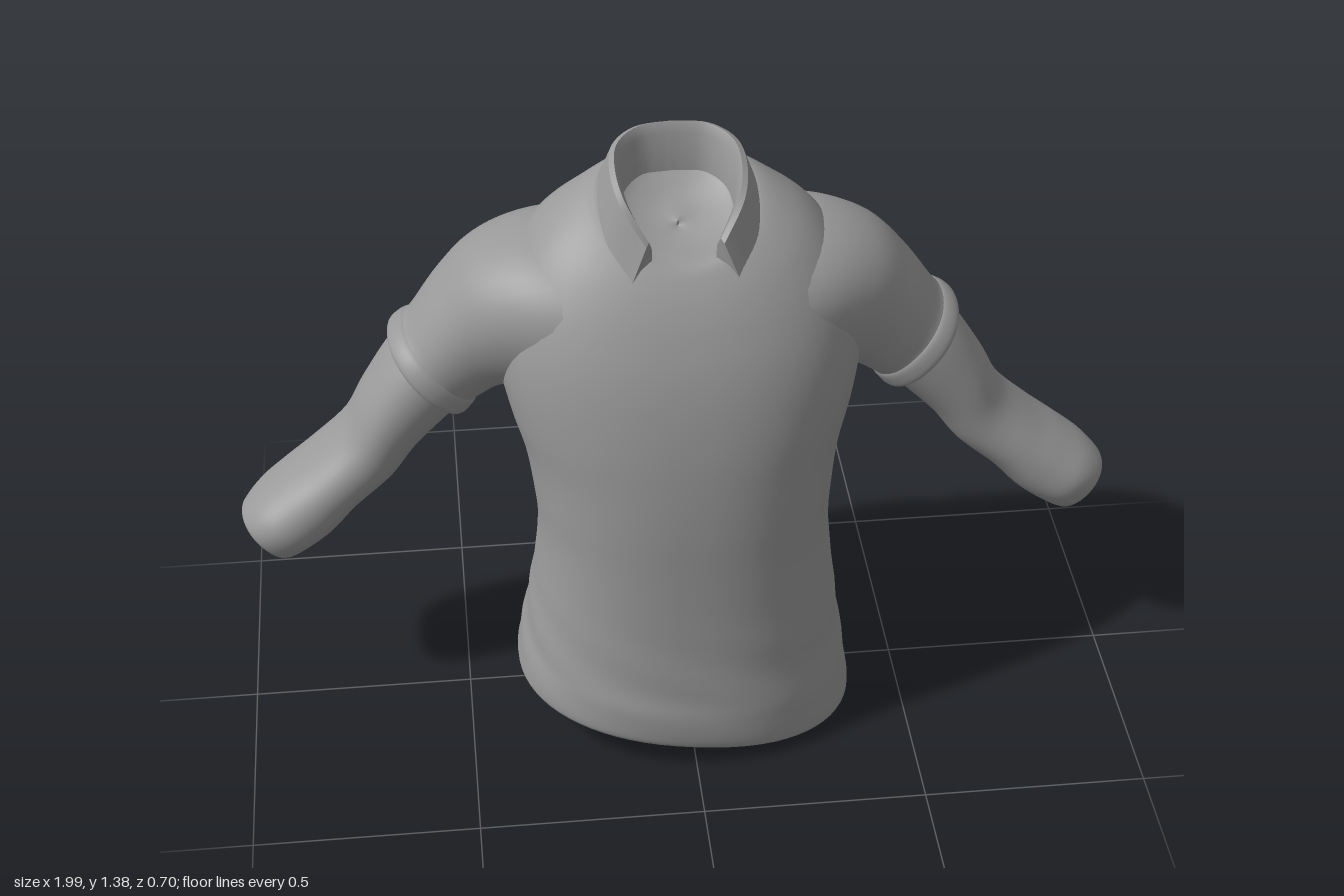
import * as THREE from 'three';
import { toCreasedNormals } from 'three/addons/utils/BufferGeometryUtils.js';

// Smoothly interpolates rows of section parameters
function refine(rows, steps) {
  const out = [], last = rows.length - 1;
  for (let i = 0; i < last; i++) {
    const [a, b, c, d] = [i - 1, i, i + 1, i + 2].map((k) => rows[Math.min(last, Math.max(0, k))]);
    for (let s = 0; s < steps; s++) {
      const t = s / steps;
      out.push(b.map((v, k) => v + 0.5 * t * (c[k] - a[k]
        + t * (2 * a[k] - 5 * v + 4 * c[k] - d[k] + t * (3 * (v - c[k]) + d[k] - a[k])))));
    }
  }
  out.push(rows[last]);
  return out;
}

// Skins a list of closed rings of [x, y, z] points
function loft(rings, flip = false) {
  const n = rings[0].length, index = [];
  for (let i = 0; i < rings.length - 1; i++) {
    for (let j = 0; j < n; j++) {
      const k = (j + 1) % n;
      const a = i * n + j, b = (i + 1) * n + j, c = (i + 1) * n + k, d = i * n + k;
      if (flip) index.push(a, d, b, b, d, c);
      else index.push(a, b, d, b, c, d);
    }
  }
  const g = new THREE.BufferGeometry();
  g.setAttribute('position', new THREE.Float32BufferAttribute(rings.flat(2), 3));
  g.setIndex(index);
  g.computeVertexNormals();
  return g;
}

// Points round a superellipse as [cos, sin] pairs
function unitRing(n, power) {
  const f = (v) => Math.sign(v) * Math.abs(v) ** power;
  return Array.from({ length: n }, (_, j) => {
    const a = (j / n) * Math.PI * 2;
    return [f(Math.cos(a)), f(Math.sin(a))];
  });
}

// Torso section: front y, back y, half width, front z, back z, lift at the sides
const torsoRows = [
  [0.043, 0.043, 0.380, 0.335, -0.25, 0],
  [0.06, 0.06, 0.386, 0.350, -0.26, 0],
  [0.13, 0.13, 0.376, 0.348, -0.253, 0],
  [0.20, 0.20, 0.364, 0.334, -0.245, 0],
  [0.35, 0.35, 0.342, 0.315, -0.220, 0],
  [0.50, 0.50, 0.327, 0.302, -0.215, 0],
  [0.60, 0.60, 0.334, 0.294, -0.240, 0],
  [0.70, 0.70, 0.350, 0.282, -0.282, 0],
  [0.80, 0.80, 0.380, 0.265, -0.322, 0],
  [0.90, 0.90, 0.400, 0.240, -0.342, 0],
  [0.98, 1.00, 0.400, 0.212, -0.345, 0],
  [1.05, 1.10, 0.375, 0.178, -0.330, 0.01],
  [1.10, 1.18, 0.318, 0.148, -0.296, 0.03],
  [1.14, 1.245, 0.250, 0.118, -0.248, 0.036],
  [1.17, 1.30, 0.165, 0.088, -0.213, 0.03],
  [1.18, 1.26, 0.120, 0.055, -0.170, 0],
  [1.18, 1.22, 0.060, 0.000, -0.120, 0],
  [1.19, 1.20, 0.001, -0.059, -0.061, 0],
];

function torsoRing([yf, yb, hw, zf, zb, lift]) {
  return unitRing(72, 0.87).map(([c, s]) => {
    let y = (yf + yb) / 2 + (s * (yf - yb)) / 2 + lift * c * c;
    // Shallow, uneven cloth folds above the hem
    const fold = y > 0.06 && y < 0.4 ? Math.sin(((y - 0.06) / 0.34) * Math.PI) : 0;
    const r = 1 + 0.007 * fold * Math.sin(y * 46 + 4 * s + 5 * c);
    const x = hw * c * r;
    const z = (zf + zb) / 2 + ((zf - zb) / 2) * s * r;
    // The hem runs lower on the left
    const slant = Math.max(0, 1 - y / 0.45);
    y += slant * (-0.157 * x + 0.07 * x * x);
    return [x, y, z];
  });
}

// Arm section: x, y, half height, front z, back z, tilt in degrees
// The first sleeve rows lie inside the chest so that the shoulder flows out of it
const sleeveRows = [
  [0.06, 0.99, 0.195, 0.150, -0.325, 3],
  [0.18, 0.99, 0.195, 0.148, -0.346, 9],
  [0.285, 0.985, 0.190, 0.118, -0.340, 18],
  [0.375, 0.962, 0.170, 0.072, -0.325, 26],
  [0.450, 0.918, 0.139, 0.028, -0.305, 31],
  [0.505, 0.862, 0.120, 0.008, -0.282, 40],
  [0.522, 0.845, 0.118, 0.004, -0.278, 42],
];
const cuffRows = [
  [0.514, 0.853, 0.108, -0.004, -0.270, 42],
  [0.524, 0.844, 0.120, 0.007, -0.281, 43],
  [0.540, 0.829, 0.125, 0.011, -0.285, 43],
  [0.552, 0.816, 0.124, 0.010, -0.284, 43],
  [0.556, 0.812, 0.112, 0.000, -0.274, 43],
  [0.550, 0.818, 0.095, -0.02, -0.255, 43],
];
const forearmRows = [
  [0.50, 0.86, 0.095, -0.010, -0.262, 43],
  [0.56, 0.805, 0.101, -0.006, -0.268, 43],
  [0.64, 0.71, 0.089, -0.006, -0.250, 43],
  [0.695, 0.625, 0.081, -0.004, -0.248, 43],
  [0.775, 0.555, 0.078, 0.010, -0.246, 43],
  [0.84, 0.50, 0.086, 0.022, -0.234, 43],
  [0.895, 0.462, 0.085, 0.028, -0.216, 43],
  [0.932, 0.432, 0.080, 0.012, -0.186, 43],
  [0.944, 0.423, 0.070, -0.008, -0.168, 43],
  [0.950, 0.418, 0.035, -0.045, -0.125, 43],
  [0.951, 0.417, 0.001, -0.085, -0.087, 43],
];

function armGeometry(rows, side) {
  const rings = refine(rows, 5).map(([x, y, h, zf, zb, deg]) => {
    const t = THREE.MathUtils.degToRad(deg);
    return unitRing(40, 0.92).map(([c, s]) => [
      side * (x + h * c * Math.sin(t)),
      y + h * c * Math.cos(t),
      (zf + zb) / 2 + ((zf - zb) / 2) * s,
    ]);
  });
  return loft(rings, side > 0);
}

// Half collar from centre back to front point: top edge xyz, leaf edge xyz, inner base y
const collarRows = [
  [0, 1.374, -0.196, 0, 1.295, -0.221, 1.23],
  [0.08, 1.371, -0.184, 0.10, 1.292, -0.206, 1.225],
  [0.134, 1.36, -0.130, 0.162, 1.275, -0.148, 1.21],
  [0.146, 1.343, -0.045, 0.178, 1.245, -0.060, 1.19],
  [0.130, 1.305, 0.035, 0.166, 1.195, 0.035, 1.18],
  [0.082, 1.238, 0.092, 0.116, 1.145, 0.104, 1.17],
];

function collarGeometry() {
  const half = refine(collarRows, 6);
  const mirrored = half.slice(1).reverse().map((r) => r.map((v, k) => (k === 0 || k === 3 ? -v : v)));
  const rings = [...mirrored, ...half].map(([tx, ty, tz, bx, by, bz, iy]) => {
    const inward = (x, z, f) => [x * f, -0.05 + (z + 0.05) * f];
    const [ix, iz] = inward(tx, tz, 0.84);
    const [jx, jz] = inward(tx, tz, 0.82);
    const [lx, lz] = inward(bx, bz, 0.92);
    return [[jx, iy, jz], [ix, ty - 0.022, iz], [(ix + tx) / 2, ty, (iz + tz) / 2],
      [tx, ty - 0.006, tz], [bx, by, bz], [lx, by, lz]];
  });
  // Close both front ends
  const cap = (ring) => {
    const m = [0, 1, 2].map((k) => ring.reduce((sum, p) => sum + p[k], 0) / ring.length);
    return ring.map(() => m);
  };
  return toCreasedNormals(loft([cap(rings[0]), ...rings, cap(rings.at(-1))]), 0.7);
}

export function createModel() {
  const model = new THREE.Group();
  model.name = 'shirt';
  const cloth = new THREE.MeshStandardMaterial({ color: 0x999999 });
  cloth.name = 'grey cloth';
  const add = (name, geometry) => {
    const mesh = new THREE.Mesh(geometry, cloth);
    mesh.name = name;
    model.add(mesh);
  };

  add('torso', loft(refine(torsoRows, 5).map(torsoRing)));

  // Flat underside closing the hem
  const hem = torsoRing(torsoRows[0]);
  add('hemUnderside', loft([hem.map(() => [0, 0.043, 0.043]), hem]));

  for (const [label, side] of [['left', 1], ['right', -1]]) {
    add(label + 'Sleeve', armGeometry(sleeveRows, side));
    add(label + 'Cuff', armGeometry(cuffRows, side));
    add(label + 'Forearm', armGeometry(forearmRows, side));
  }

  add('collar', collarGeometry());
  return model;
}
